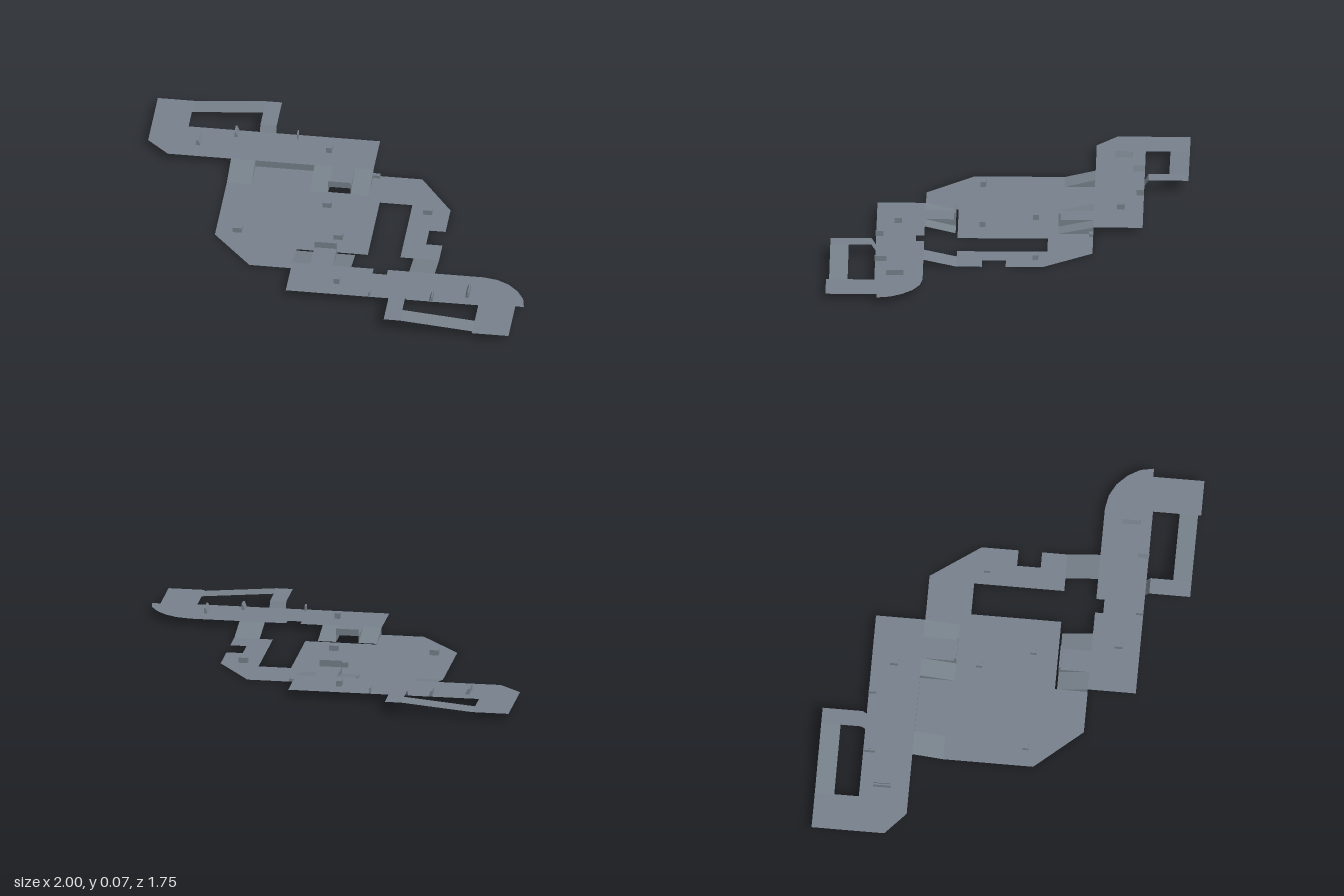
import * as THREE from 'three';

const LOW = 0.137, MID = 0.172, HIGH = 0.203;

export function createModel() {
  const model = new THREE.Group();
  model.name = 'arenaFloors';
  const grey = new THREE.MeshStandardMaterial({ color: 0x78828c, side: THREE.DoubleSide, flatShading: true });
  grey.name = 'slateGrey';

  function add(name, geometry) {
    const mesh = new THREE.Mesh(geometry, grey);
    mesh.name = name;
    model.add(mesh);
    return mesh;
  }

  // Flat sheet from an outline of [x, z] points
  function floor(name, y, points) {
    const shape = new THREE.Shape(points.map(([x, z]) => new THREE.Vector2(x, -z)));
    add(name, new THREE.ShapeGeometry(shape).rotateX(-Math.PI / 2).translate(0, y, 0));
  }

  // Planar panel from three or four corners
  function panel(name, ...corners) {
    const geometry = new THREE.BufferGeometry();
    geometry.setAttribute('position', new THREE.Float32BufferAttribute(corners.flat(), 3));
    geometry.setIndex(corners.length === 4 ? [0, 1, 2, 0, 2, 3] : [0, 1, 2]);
    geometry.computeVertexNormals();
    add(name, geometry);
  }

  // Ramp between two z positions
  function ramp(name, x0, x1, z0, y0, z1, y1) {
    panel(name, [x0, y0, z0], [x0, y0, z1].with(1, y1), [x1, y1, z1], [x1, y0, z0]);
  }

  function box(name, x0, x1, y0, y1, z0, z1) {
    add(name, new THREE.BoxGeometry(x1 - x0, y1 - y0, z1 - z0)
      .translate((x0 + x1) / 2, (y0 + y1) / 2, (z0 + z1) / 2));
  }

  // Central lower floor
  floor('lowerFloor', LOW, [
    [-0.58, -0.27], [-0.46, -0.27], [-0.46, -0.42], [-0.17, -0.42], [-0.17, -0.255],
    [0.12, -0.255], [0.12, -0.42], [0.36, -0.42], [0.53, -0.18], [0.53, 0], [0.45, 0],
    [0.45, 0.115], [0.53, 0.115], [0.53, 0.24], [0.34, 0.24], [0.34, -0.2], [0.18, -0.2],
    [0.18, 0.24], [-0.17, 0.24], [-0.17, 0.4], [-0.38, 0.4], [-0.58, 0.17],
  ]);

  // Raised platforms
  floor('backPlatform', MID, [
    [-1, -0.875], [-0.82, -0.875], [-0.82, -0.66], [0.12, -0.66], [0.12, -0.42],
    [-0.89, -0.42], [-1, -0.52],
  ]);
  floor('frontPlatform', MID, [
    [-0.17, 0.4], [0.23, 0.4], [0.23, 0.44], [0.3, 0.44], [0.3, 0.4], [0.77, 0.4],
    [0.84, 0.413], [0.9, 0.445], [0.95, 0.495], [0.985, 0.555], [0.997, 0.62],
    [0.955, 0.62], [0.955, 0.87], [0.775, 0.87], [0.775, 0.635], [-0.17, 0.635],
  ]);

  // Bridges with end barriers, flanked by ramps
  for (const [side, s, end] of [['back', -1, 0.42], ['front', 1, 0.4]]) {
    const inner = s * 0.25, outer = s * end;
    floor(side + 'Bridge', MID, [[-0.08, inner], [0.03, inner], [0.03, outer], [-0.08, outer]]);
    box(side + 'Barrier', -0.08, 0.03, MID, 0.205, s * 0.255 - 0.005, s * 0.255 + 0.005);
    for (const [x0, x1] of [[-0.17, -0.08], [0.03, 0.12]]) {
      ramp(side + 'BridgeRamp', x0, x1, inner, LOW, outer, MID);
    }
    for (const x of [-0.08, 0.03]) {
      panel(side + 'BridgeWall', [x, LOW, inner], [x, MID, inner], [x, MID, outer], [x, LOW, outer]);
    }
    const edges = s < 0 ? [-0.17, 0.12] : [-0.17];
    for (const x of edges) {
      panel(side + 'RampWall', [x, LOW, inner], [x, MID, outer], [x, LOW, outer]);
    }
  }

  // Corner ramps and the retaining wall
  ramp('backCornerRamp', -0.58, -0.46, -0.27, LOW, -0.42, MID);
  ramp('frontCornerRamp', 0.405, 0.53, 0.24, LOW, 0.4, MID);
  panel('cornerRampWall', [-0.46, LOW, -0.27], [-0.46, MID, -0.42], [-0.46, LOW, -0.42]);
  panel('retainingWall', [-0.46, LOW, -0.42], [-0.17, LOW, -0.42], [-0.17, MID, -0.42], [-0.46, MID, -0.42]);

  // Outer loops: rising walkway, flat landing and steep drop
  function loop(name, xLow, xTop, xEnd, zOut, zIn, zDrop, zFoot) {
    panel(name + 'Walkway', [xLow, MID, zOut], [xLow, MID, zIn], [xTop, HIGH, zIn], [xTop, HIGH, zOut]);
    floor(name + 'Landing', HIGH, [[xTop, zOut], [xEnd, zOut], [xEnd, zDrop], [xTop, zDrop]]);
    ramp(name + 'Drop', xTop, xEnd, zDrop, HIGH, zFoot, MID);
  }
  loop('backLoop', -0.82, -0.47, -0.39, -0.875, -0.78, -0.68, -0.66);
  loop('frontLoop', 0.775, 0.42, 0.34, 0.855, 0.765, 0.655, 0.635);

  // Crates
  for (const [x, z] of [[-0.07, -0.138], [0.423, -0.143], [-0.475, 0.125], [0.02, 0.12]]) {
    box('lowerCrate', x - 0.022, x + 0.022, LOW, 0.163, z - 0.014, z + 0.014);
  }
  for (const [x, z] of [[-0.115, -0.55], [0.067, 0.53]]) {
    box('upperCrate', x - 0.014, x + 0.014, MID, 0.2, z - 0.019, z + 0.019);
  }
  box('backStep', 0.12, 0.155, LOW, 0.152, -0.42, -0.4);

  // Wedge covers: upright on one side, sloped on the other
  function wedge(xUpright, xFoot, z0, z1) {
    const shape = new THREE.Shape();
    const xTop = xUpright + (xFoot - xUpright) * 0.4;
    shape.moveTo(xUpright, MID).lineTo(xFoot, MID).lineTo(xTop, 0.2).lineTo(xUpright, 0.2);
    add('wedgeCover', new THREE.ExtrudeGeometry(shape, { depth: z1 - z0, bevelEnabled: false }).translate(0, 0, z0));
  }
  wedge(-0.763, -0.742, -0.595, -0.51);
  wedge(0.721, 0.702, 0.493, 0.58);
  wedge(-0.588, -0.57, -0.66, -0.602);
  wedge(0.55, 0.532, 0.58, 0.637);
  box('backPost', -0.284, -0.277, MID, 0.2, -0.66, -0.623);
  box('frontPost', 0.235, 0.242, MID, 0.2, 0.6, 0.637);

  return model;
}
